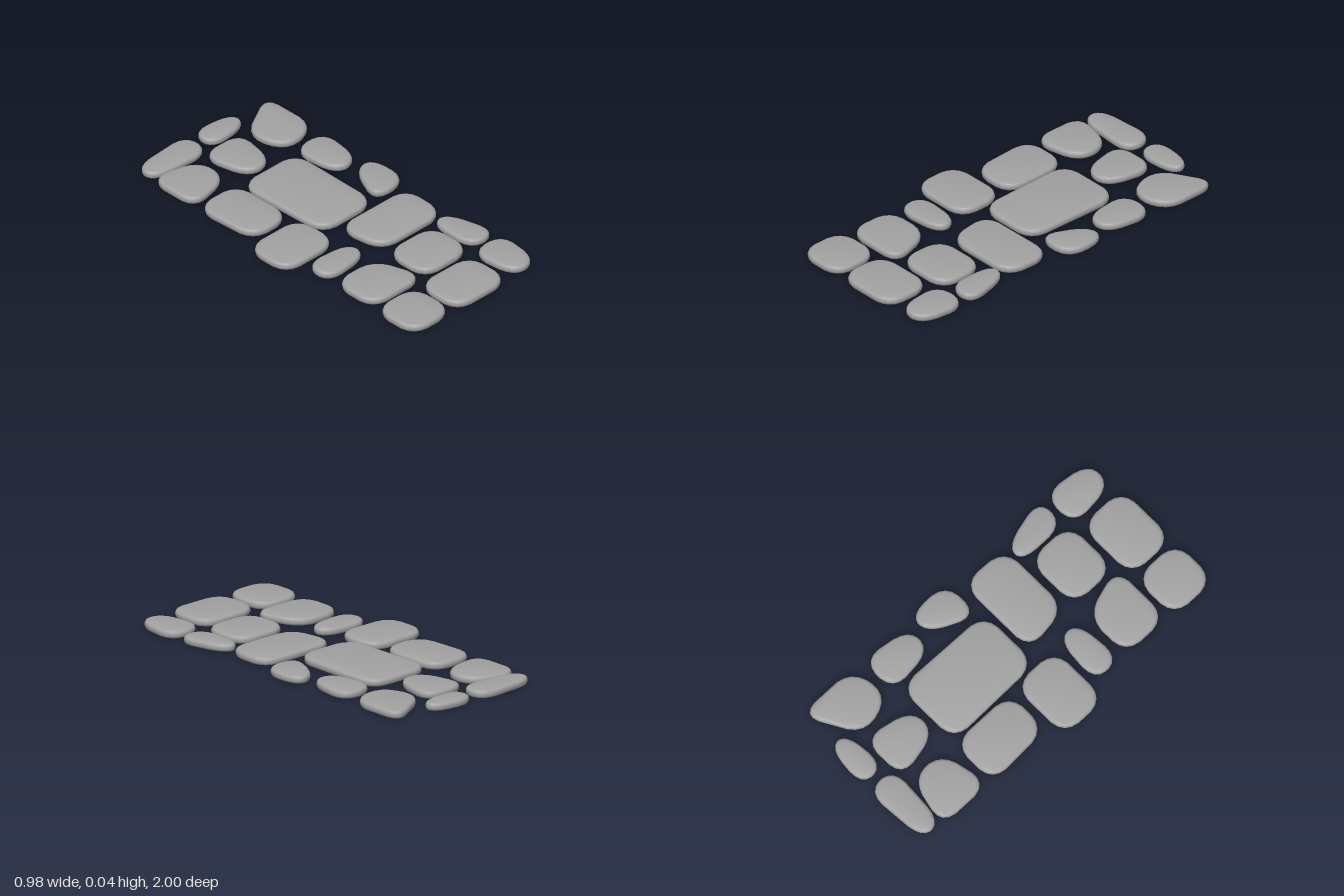
import * as THREE from 'three';
import { mergeVertices } from 'three/addons/utils/BufferGeometryUtils.js';

const HEIGHT = 0.04, BEVEL = 0.014, ROUNDING = 0.095, BLUNTNESS = 0.2;

// Each stone: x from, x to, z from, z to, then shifts of single corners
// (b = back, f = front, n = -x side, p = +x side)
const STONES = [
  // back edge
  [-0.392, -0.03, -1.005, -0.83, { bn: [0, 0.025], fn: [0, -0.025] }],
  [0.015, 0.264, -1.003, -0.85, { bp: [0, 0.025], fp: [0, -0.022] }],
  // second row
  [-0.413, -0.135, -0.865, -0.545, { bp: [0, 0.065], fp: [0, -0.06] }],
  [-0.095, 0.182, -0.828, -0.55, { fn: [0.06, 0], fp: [-0.055, 0] }],
  [0.195, 0.488, -0.965, -0.575, { bn: [0, 0.165], fn: [0.07, 0], fp: [0, -0.045] }],
  // middle rows
  [-0.423, -0.147, -0.525, -0.145, { fn: [0.02, 0] }],
  [-0.133, 0.25, -0.51, 0.058, { fn: [0.013, 0], fp: [-0.01, 0] }],
  [0.262, 0.483, -0.545, -0.265, { fn: [0.03, 0], fp: [-0.04, 0] }],
  [0.255, 0.489, -0.21, 0.034, { bn: [0.11, 0] }],
  [-0.493, -0.137, -0.1, 0.175],
  [-0.05, 0.425, 0.09, 0.367, { fn: [0.038, 0], fp: [-0.01, 0] }],
  // front rows
  [-0.392, -0.112, 0.205, 0.377, { bp: [0, 0.023], fp: [0, -0.025] }],
  [-0.398, -0.04, 0.415, 0.691, { bp: [-0.085, 0] }],
  [-0.033, 0.287, 0.41, 0.685],
  [0.308, 0.485, 0.387, 0.667, { bp: [-0.07, 0] }],
  [-0.42, -0.146, 0.722, 0.998],
  [-0.12, 0.238, 0.722, 1],
  [0.266, 0.485, 0.702, 0.978, { fn: [0.028, 0], fp: [-0.033, 0] }],
];

// Four-sided outline with every corner worn off by a blunt curve
function stoneOutline([x0, x1, z0, z1, shifts = {}]) {
  const corner = (x, z, key) => {
    const [dx, dz] = shifts[key] ?? [0, 0];
    return new THREE.Vector2(x + dx, z + dz);
  };
  const pts = [corner(x0, z0, 'bn'), corner(x1, z0, 'bp'), corner(x1, z1, 'fp'), corner(x0, z1, 'fn')];
  const toward = (from, to) => {
    const length = from.distanceTo(to);
    return from.clone().lerp(to, Math.min(ROUNDING, length * 0.42) / length);
  };
  const shape = new THREE.Shape();
  pts.forEach((p, i) => {
    const a = toward(p, pts[(i + 3) % 4]);
    const b = toward(p, pts[(i + 1) % 4]);
    const control = p.clone().lerp(a.clone().lerp(b, 0.5), BLUNTNESS);
    if (i === 0) shape.moveTo(a.x, a.y);
    else shape.lineTo(a.x, a.y);
    shape.quadraticCurveTo(control.x, control.y, b.x, b.y);
  });
  shape.closePath();
  return shape;
}

// Merge corners and average face normals equally, so the flat faces look pillowy
function softened(geometry) {
  geometry.computeVertexNormals();
  const faceNormals = geometry.getAttribute('normal');
  geometry.deleteAttribute('normal');
  geometry.deleteAttribute('uv');
  const smooth = mergeVertices(geometry, 1e-5);
  const sums = new Float32Array(smooth.getAttribute('position').count * 3);
  smooth.index.array.forEach((vertex, i) => {
    for (let k = 0; k < 3; k++) sums[vertex * 3 + k] += faceNormals.array[i * 3 + k];
  });
  smooth.setAttribute('normal', new THREE.BufferAttribute(sums, 3));
  smooth.normalizeNormals();
  return smooth;
}

// Flat slab with rounded top and bottom edges
function stoneGeometry(stone) {
  const thickness = 0.013;
  const geometry = new THREE.ExtrudeGeometry(stoneOutline(stone), {
    depth: HEIGHT - 2 * thickness,
    bevelThickness: thickness,
    bevelSize: BEVEL,
    bevelOffset: -BEVEL,
    bevelSegments: 2,
    curveSegments: 4,
  });
  geometry.rotateX(Math.PI / 2);
  geometry.translate(0, HEIGHT - thickness, 0);
  return softened(geometry);
}

export function createModel() {
  const path = new THREE.Group();
  path.name = 'stonePath';
  const material = new THREE.MeshStandardMaterial({ color: 0xa3a3a3 });
  STONES.forEach((stone, i) => {
    const mesh = new THREE.Mesh(stoneGeometry(stone), material);
    mesh.name = `pavingStone${i + 1}`;
    path.add(mesh);
  });
  return path;
}
